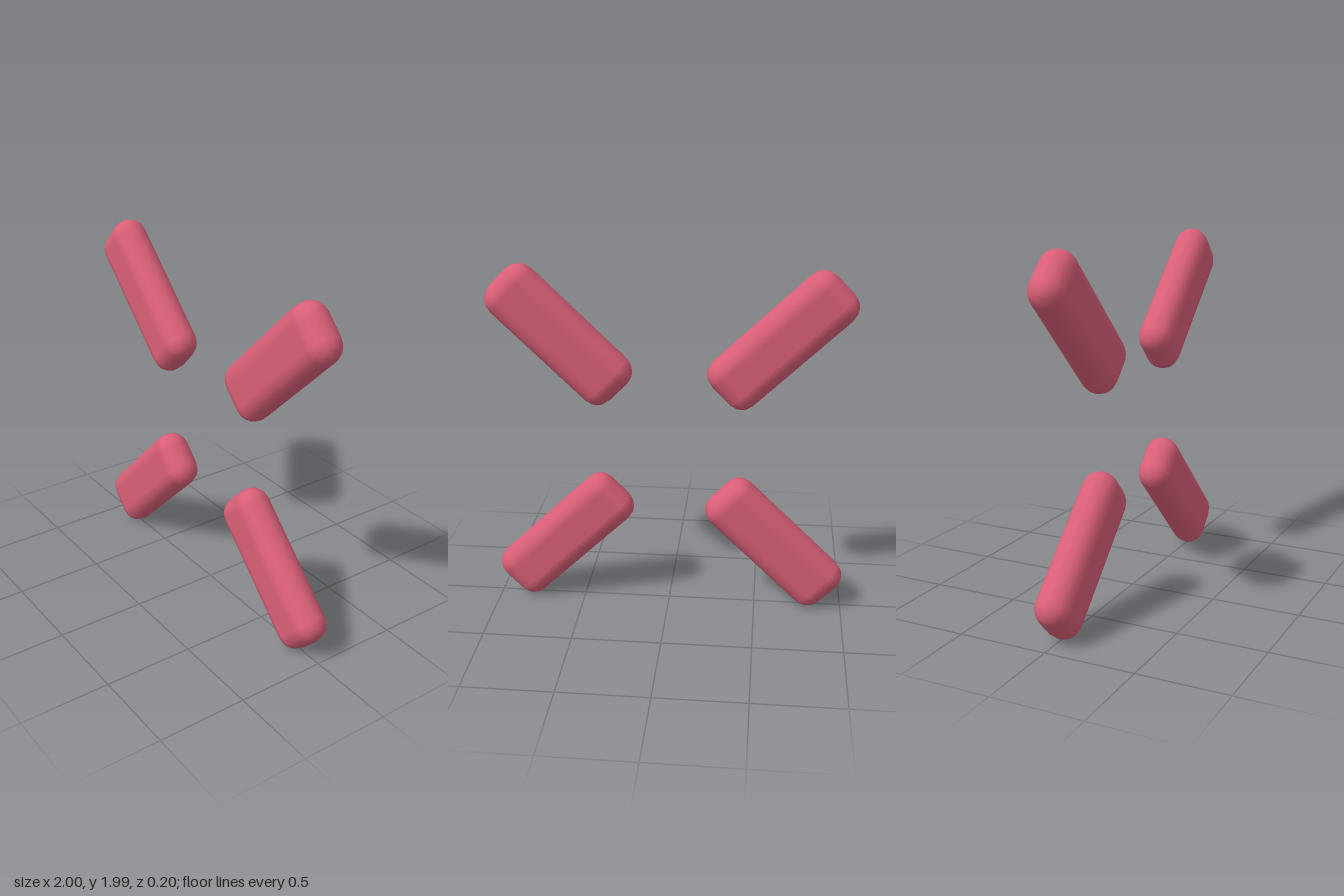
import * as THREE from 'three';
import { RoundedBoxGeometry } from 'three/addons/geometries/RoundedBoxGeometry.js';

export function createModel() {
  const model = new THREE.Group();
  model.name = 'crosshair';

  const rose = new THREE.MeshStandardMaterial({ color: 0xd95f77 });
  rose.name = 'rose';

  // One soft-edged bar, repeated in the four corners and pointing to the centre
  const barGeometry = new RoundedBoxGeometry(0.9, 0.334, 0.2, 2, 0.1);
  const tilt = 0.77;

  for (const [vertical, sy] of [['upper', 1], ['lower', -1]]) {
    for (const [side, sx] of [['Left', 1], ['Right', -1]]) {
      const bar = new THREE.Mesh(barGeometry, rose);
      bar.name = `${vertical}${side}Bar`;
      bar.position.set(sx * 0.602, 0.995 + sy * 0.603, 0);
      bar.rotation.z = sx * sy * tilt;
      model.add(bar);
    }
  }
  return model;
}
